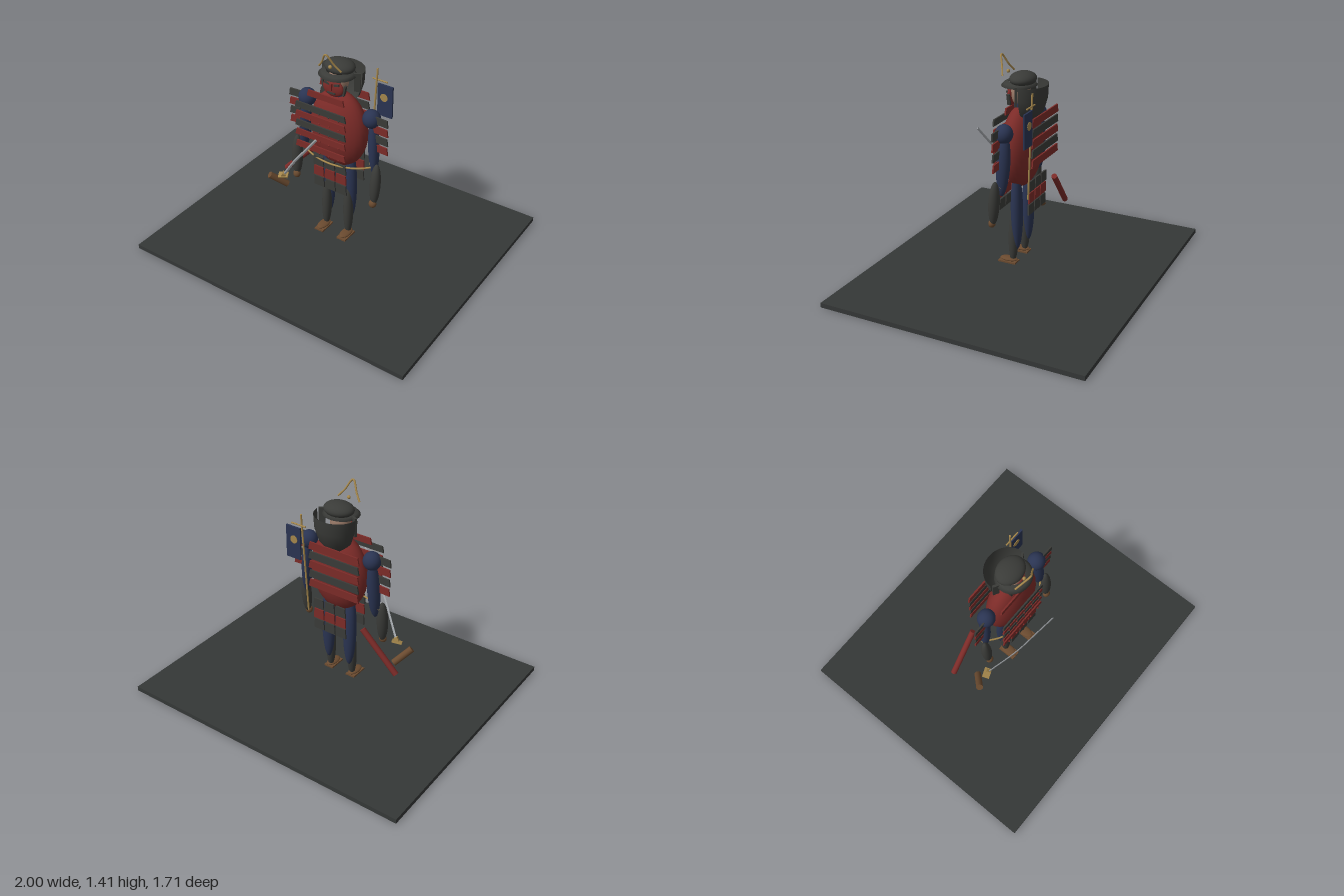
import * as THREE from 'three';

const RED = 0x7c2b28, DARK = 0x3a3b38, BLUE = 0x2a3452, GOLD = 0xa5874c, BROWN = 0x6a4a2f, SKIN = 0x9a7a68, STEEL = 0xa0a4a8, FLOOR = 0x353837;
const V = (x, y, z) => new THREE.Vector3(x, y, z);

export function createModel() {
  const root = new THREE.Group();
  root.name = 'armouredWarrior';
  const mats = {};
  const mat = (color) => (mats[color] ??= new THREE.MeshStandardMaterial({ color, side: THREE.DoubleSide }));

  function add(name, geo, color, pos = [0, 0, 0], rot = [0, 0, 0]) {
    const m = new THREE.Mesh(geo, mat(color));
    m.name = name;
    m.position.set(...pos);
    m.rotation.set(...rot);
    root.add(m);
    return m;
  }
  const box = (name, color, size, pos, rot) => add(name, new THREE.BoxGeometry(...size), color, pos, rot);
  function ball(name, color, radii, pos, rot) {
    const m = add(name, new THREE.SphereGeometry(1, 28, 18), color, pos, rot);
    m.scale.set(...radii);
    return m;
  }
  const tube = (name, color, pts, r, n = 24) =>
    add(name, new THREE.TubeGeometry(new THREE.CatmullRomCurve3(pts), n, r, 8), color);
  // A straight part laid from point a to point b
  function between(name, geo, color, a, b) {
    const m = add(name, geo, color, a.clone().add(b).multiplyScalar(0.5).toArray());
    m.quaternion.setFromUnitVectors(V(0, 1, 0), b.clone().sub(a).normalize());
    return m;
  }
  const rod = (name, color, a, b, r) => between(name, new THREE.CylinderGeometry(r, r, a.distanceTo(b), 14), color, a, b);
  function limb(name, color, a, b, rx, rz) {
    const m = between(name, new THREE.SphereGeometry(1, 24, 18), color, a, b);
    m.scale.set(rx, a.distanceTo(b) / 2, rz);
  }
  // Flat armour plate, wider at its lower edge
  function plate(name, color, top, bottom, h, pos, rot) {
    const s = new THREE.Shape();
    s.moveTo(-bottom / 2, -h / 2);
    s.lineTo(bottom / 2, -h / 2);
    s.lineTo(top / 2, h / 2);
    s.lineTo(-top / 2, h / 2);
    const g = new THREE.ExtrudeGeometry(s, { depth: 0.01, bevelEnabled: false });
    g.translate(0, 0, -0.005);
    return add(name, g, color, pos, rot);
  }

  box('floor', FLOOR, [2, 0.03, 1.71], [0, 0.015, 0]);

  // Body
  ball('torso', RED, [0.2, 0.265, 0.11], [0, 0.845, 0.005]);
  ball('neck', BLUE, [0.05, 0.08, 0.04], [0, 1.11, 0.015]);
  ball('head', SKIN, [0.065, 0.085, 0.06], [0, 1.18, 0.015]);

  for (const s of [-1, 1]) {
    // Legs and sandals
    limb('thigh', BLUE, V(s * 0.08, 0.17, 0), V(s * 0.085, 0.71, 0.005), 0.045, 0.037);
    limb('shin', DARK, V(s * 0.085, 0.07, 0.03), V(s * 0.08, 0.46, 0.02), 0.033, 0.033);
    ball('foot', BROWN, [0.033, 0.013, 0.06], [s * 0.087, 0.093, 0.058]);
    box('sandalSole', BROWN, [0.066, 0.01, 0.12], [s * 0.087, 0.077, 0.06]);

    // Arms and hands
    ball('shoulder', BLUE, [0.057, 0.06, 0.055], [s * 0.235, 0.988, 0.01]);
    limb('upperArm', BLUE, V(s * 0.24, 1.0, 0.0), V(s * 0.265, 0.6, 0.015), 0.042, 0.035);
    limb('forearm', DARK, V(s * 0.298, 0.7, 0.04), V(s * 0.293, 0.41, 0.06), 0.036, 0.033);
    ball('hand', BROWN, [0.025, 0.027, 0.022], [s * 0.291, 0.42, 0.068]);

    // Shoulder guard: four hanging plates
    for (let i = 0; i < 4; i++)
      plate('shoulderPlate', i % 2 ? RED : DARK, 0.11, 0.13, 0.048, [s * 0.297, 1.0 - i * 0.065, 0.027 - i * 0.002], [0, 0, s * -0.05]);

    // Helmet side flap
    box('helmetFlap', DARK, [0.04, 0.12, 0.014], [s * 0.118, 1.19, -0.01], [0, s * 0.5, 0]);
  }

  // Chest and back plates
  const rows = [1.07, 1.005, 0.94, 0.875, 0.81, 0.725];
  rows.forEach((y, i) => {
    const c = i % 2 && i < 5 ? DARK : RED, w = i === 0 ? 0.25 : 0.35;
    plate('chestPlate', c, w, w + 0.02, 0.042, [-0.05, y, i === 0 ? 0.08 : 0.137]);
    if (i < 5) plate('backPlate', c, 0.35, 0.37, 0.05, [-0.05, y - 0.03, -0.125]);
    // Lacing knots
    if (i) for (let k = 0; k < 5; k++) ball('lacingKnot', c, [0.006, 0.005, 0.005], [-0.19 + k * 0.07, y - 0.015, 0.148]);
  });

  // Skirt of hanging plates, front and back
  for (const z of [0.112, -0.1])
    for (let col = -1; col <= 1; col++)
      for (let i = 0; i < 3; i++)
        plate('skirtPlate', i === 1 ? RED : DARK, 0.068, 0.078, 0.068, [col * 0.083, 0.625 - i * 0.078, z - Math.sign(z) * i * 0.003]);

  // Belt cord
  tube('beltCord', GOLD, [V(-0.29, 0.665, 0.01), V(-0.17, 0.65, 0.09), V(0, 0.643, 0.123), V(0.17, 0.65, 0.09), V(0.29, 0.665, 0.01)], 0.006);

  // Helmet
  ball('helmetBowl', DARK, [0.1, 0.045, 0.08], [0, 1.27, 0]);
  const brim = add('helmetBrim', new THREE.LatheGeometry([[0.07, 0.02], [0.1, 0.012], [0.118, -0.006], [0.1, -0.004], [0.07, 0.008]]
    .map(([x, y]) => new THREE.Vector2(x, y)), 36), DARK, [0, 1.235, 0.025]);
  brim.scale.z = 0.92;
  const guard = add('neckGuard', new THREE.LatheGeometry([[0.004, 1.0], [0.06, 1.02], [0.11, 1.08], [0.135, 1.16], [0.14, 1.245]]
    .map(([x, y]) => new THREE.Vector2(x, y)), 24, Math.PI / 2, Math.PI), DARK, [0, 0, -0.03]);
  guard.scale.z = 0.9;
  tube('helmetCrest', GOLD, [V(-0.078, 1.295, 0.1), V(-0.045, 1.335, 0.118), V(0, 1.405, 0.145), V(0.045, 1.335, 0.118), V(0.078, 1.295, 0.1)], 0.006, 30);
  ball('crestStud', GOLD, [0.012, 0.012, 0.01], [0, 1.305, 0.1]);

  // Face mask with eye slots and cheek bands
  ball('faceMask', RED, [0.072, 0.058, 0.022], [0, 1.155, 0.07]);
  box('maskNose', RED, [0.016, 0.045, 0.02], [0, 1.17, 0.092]);
  box('maskMouth', DARK, [0.055, 0.01, 0.01], [0, 1.128, 0.09]);
  for (const s of [-1, 1]) {
    box('maskEye', DARK, [0.036, 0.012, 0.012], [s * 0.033, 1.185, 0.084], [0, 0, s * 0.2]);
    box('maskCheek', DARK, [0.012, 0.07, 0.02], [s * 0.075, 1.15, 0.06], [0, 0, s * -0.2]);
  }

  // Back banner on its pole
  rod('bannerPole', GOLD, V(0.155, 0.56, -0.11), V(0.173, 1.24, -0.145), 0.006);
  rod('bannerCrossbar', GOLD, V(0.14, 1.165, -0.145), V(0.245, 1.165, -0.145), 0.005);
  box('banner', BLUE, [0.105, 0.215, 0.012], [0.232, 1.035, -0.145]);
  for (const z of [-0.138, -0.152])
    add('bannerDisc', new THREE.CylinderGeometry(0.026, 0.026, 0.004, 24), GOLD, [0.226, 1.058, z], [Math.PI / 2, 0, 0]);

  // Scabbard
  rod('scabbard', RED, V(-0.25, 0.565, -0.1), V(-0.485, 0.31, -0.077), 0.019);

  // Sword: grip, guard and curved blade
  rod('swordGrip', BROWN, V(-0.468, 0.375, 0.13), V(-0.39, 0.285, 0.045), 0.022);
  box('swordGuard', GOLD, [0.065, 0.012, 0.045], [-0.37, 0.4, 0.11], [0.35, 0.4, 0]);
  box('swordCollar', GOLD, [0.025, 0.03, 0.03], [-0.362, 0.412, 0.115], [0.3, 0.4, -0.6]);
  const blade = new THREE.CatmullRomCurve3([V(-0.37, 0.4, 0.108), V(-0.19, 0.64, 0.212), V(-0.06, 0.8, 0.263), V(0.035, 0.92, 0.3)]);
  const section = new THREE.Shape([[0, 0.009], [0.004, 0], [0, -0.009], [-0.004, 0]].map(([x, y]) => new THREE.Vector2(x, y)));
  add('swordBlade', new THREE.ExtrudeGeometry(section, { steps: 24, extrudePath: blade }), STEEL);

  return root;
}
